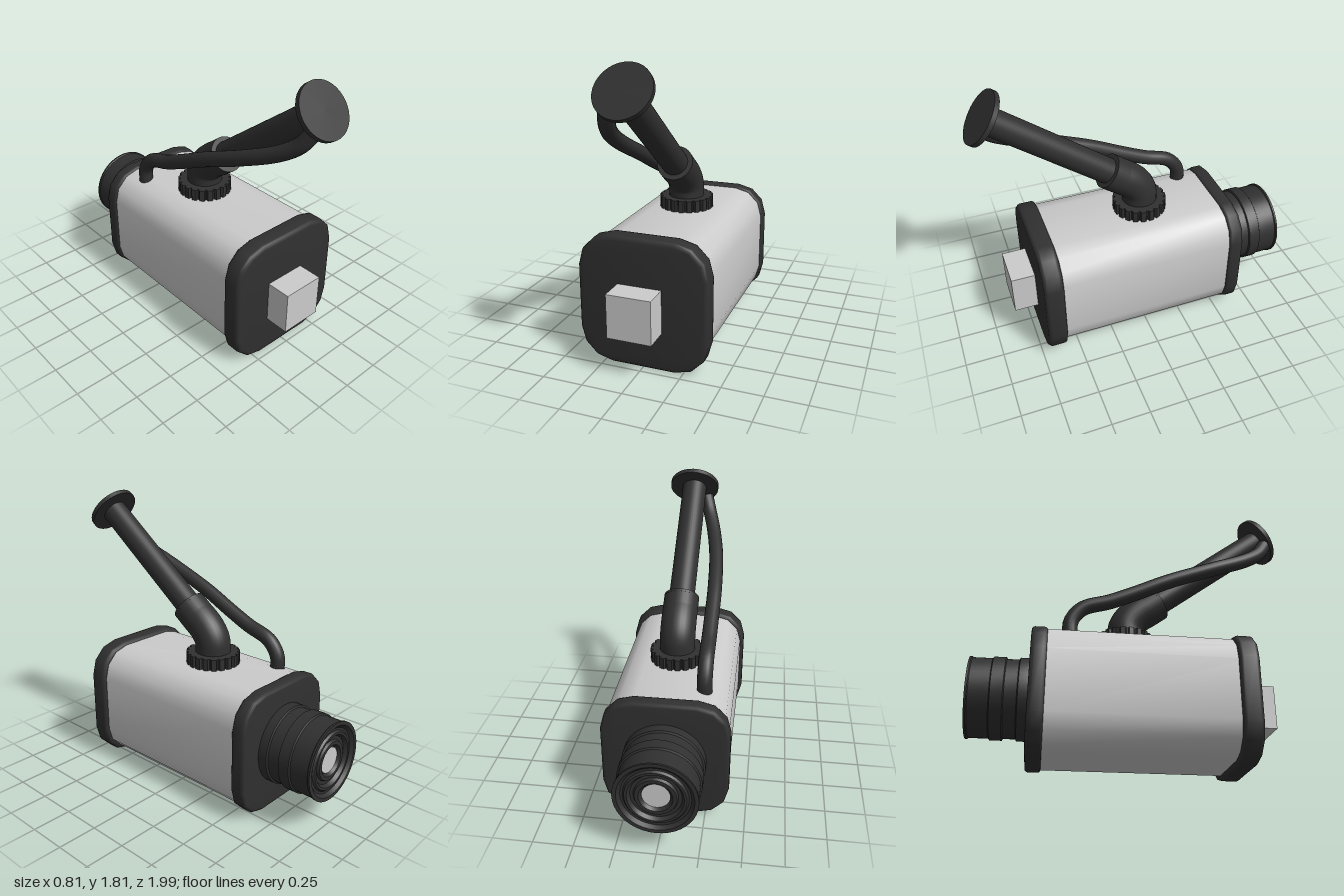
import * as THREE from 'three';
import { toCreasedNormals } from 'three/addons/utils/BufferGeometryUtils.js';

const grey = new THREE.MeshStandardMaterial({ color: 0xcccccc });
const dark = new THREE.MeshStandardMaterial({ color: 0x303030 });
const v = (x, y, z) => new THREE.Vector3(x, y, z);

// Square outline with three-sided rounded corners
function roundedSquare(half, radius) {
  const pts = [];
  for (let c = 0; c < 4; c++) {
    const mid = (c + 0.5) * Math.PI / 2;
    const cx = Math.sign(Math.cos(mid)) * (half - radius);
    const cy = Math.sign(Math.sin(mid)) * (half - radius);
    for (let i = 0; i <= 3; i++) {
      const a = (c + i / 3) * Math.PI / 2;
      pts.push(new THREE.Vector2(cx + radius * Math.cos(a), cy + radius * Math.sin(a)));
    }
  }
  return new THREE.Shape(pts);
}

export function createModel() {
  const group = new THREE.Group();

  function add(name, geometry, material, x = 0, y = 0, z = 0) {
    const mesh = new THREE.Mesh(geometry, material);
    mesh.name = name;
    mesh.position.set(x, y, z);
    group.add(mesh);
    return mesh;
  }

  // Slab between two z values, with optional softened rim
  function slab(name, half, radius, y, z0, z1, bevel, material) {
    const geo = new THREE.ExtrudeGeometry(roundedSquare(half, radius), {
      depth: z1 - z0 - 2 * bevel, bevelEnabled: bevel > 0,
      bevelSize: bevel, bevelThickness: bevel, bevelOffset: -bevel, bevelSegments: 3,
    });
    add(name, toCreasedNormals(geo, 0.75), material, 0, y, z0 + bevel);
  }

  // Housing and its two end caps
  slab('housing', 0.38, 0.19, 0.41, -0.6, 0.65, 0, grey);
  slab('frontCap', 0.405, 0.205, 0.405, 0.585, 0.712, 0.025, dark);
  slab('backCap', 0.393, 0.2, 0.408, -0.64, -0.543, 0.02, dark);
  add('frontBlock', new THREE.BoxGeometry(0.275, 0.272, 0.18), grey, -0.012, 0.384, 0.777);

  // Lens barrel: ribbed outside, stepped rings inside (radius, distance behind the cap)
  const profile = [
    [0.25, -0.02], [0.254, 0], [0.254, 0.058], [0.242, 0.064], [0.242, 0.138],
    [0.253, 0.144], [0.253, 0.217], [0.243, 0.223], [0.243, 0.342], [0.249, 0.348],
    [0.249, 0.36], [0.225, 0.36], [0.205, 0.34], [0.19, 0.34], [0.18, 0.352],
    [0.165, 0.352], [0.15, 0.33], [0.13, 0.33], [0.122, 0.345], [0.1, 0.345],
    [0.085, 0.325], [0, 0.325],
  ].map(([r, d]) => new THREE.Vector2(r, d));
  const barrel = add('lensBarrel', toCreasedNormals(new THREE.LatheGeometry(profile, 40), 0.5),
    dark, 0, 0.415, -0.64);
  barrel.rotation.x = -Math.PI / 2;
  const lens = add('lens', new THREE.CircleGeometry(0.082, 32), grey, 0, 0.415, -0.97);
  lens.rotation.y = Math.PI;

  // Toothed collar on top of the housing
  const teeth = 20;
  const gear = new THREE.Shape();
  for (let i = 0; i < teeth; i++) {
    [[0, 0.158], [0.15, 0.174], [0.7, 0.174], [0.85, 0.158]].forEach(([f, r], k) => {
      const a = (i + f) / teeth * Math.PI * 2;
      gear[i + k === 0 ? 'moveTo' : 'lineTo'](r * Math.cos(a), r * Math.sin(a));
    });
  }
  const collar = add('collar',
    new THREE.ExtrudeGeometry(gear, { depth: 0.085, bevelEnabled: false }), dark, 0, 0.78, -0.05);
  collar.rotation.x = -Math.PI / 2;

  // Elbow socket rising from the collar and bending towards the arm
  const dir = v(0, 0.6, 0.8);
  const tip = v(0, 1.675, 0.894);
  const socketEnd = tip.clone().addScaledVector(dir, -0.915);
  const bendStart = v(0, 0.9, -0.05);
  const bendEnd = socketEnd.clone().addScaledVector(dir, -0.1);
  const elbowPath = new THREE.CurvePath();
  elbowPath.add(new THREE.LineCurve3(v(0, 0.84, -0.05), bendStart));
  elbowPath.add(new THREE.QuadraticBezierCurve3(bendStart, v(0, 0.985, -0.05), bendEnd));
  elbowPath.add(new THREE.LineCurve3(bendEnd, socketEnd));
  add('elbow', new THREE.TubeGeometry(elbowPath, 24, 0.114, 28), dark);

  // Straight rods along the arm axis, measured back from the tip
  function rod(name, radius, from, to) {
    const mesh = add(name, new THREE.CylinderGeometry(radius, radius, to - from, 36), dark);
    mesh.position.copy(tip).addScaledVector(dir, -(from + to) / 2);
    mesh.quaternion.setFromUnitVectors(v(0, 1, 0), dir);
  }
  rod('elbowRim', 0.114, 0.913, 0.93);
  rod('arm', 0.083, 0.01, 0.95);
  rod('mountPlate', 0.168, 0, 0.03);

  // Cable from the housing to the mounting plate
  const cable = new THREE.CatmullRomCurve3([
    v(-0.213, 0.76, -0.412), v(-0.213, 0.86, -0.408), v(-0.213, 0.95, -0.34),
    v(-0.213, 1.01, -0.17), v(-0.213, 1.085, 0), v(-0.212, 1.18, 0.2),
    v(-0.193, 1.305, 0.5), v(-0.15, 1.415, 0.74), v(-0.115, 1.495, 0.85),
    v(-0.085, 1.585, 0.91),
  ]);
  add('cable', new THREE.TubeGeometry(cable, 60, 0.047, 16), dark);

  return group;
}
